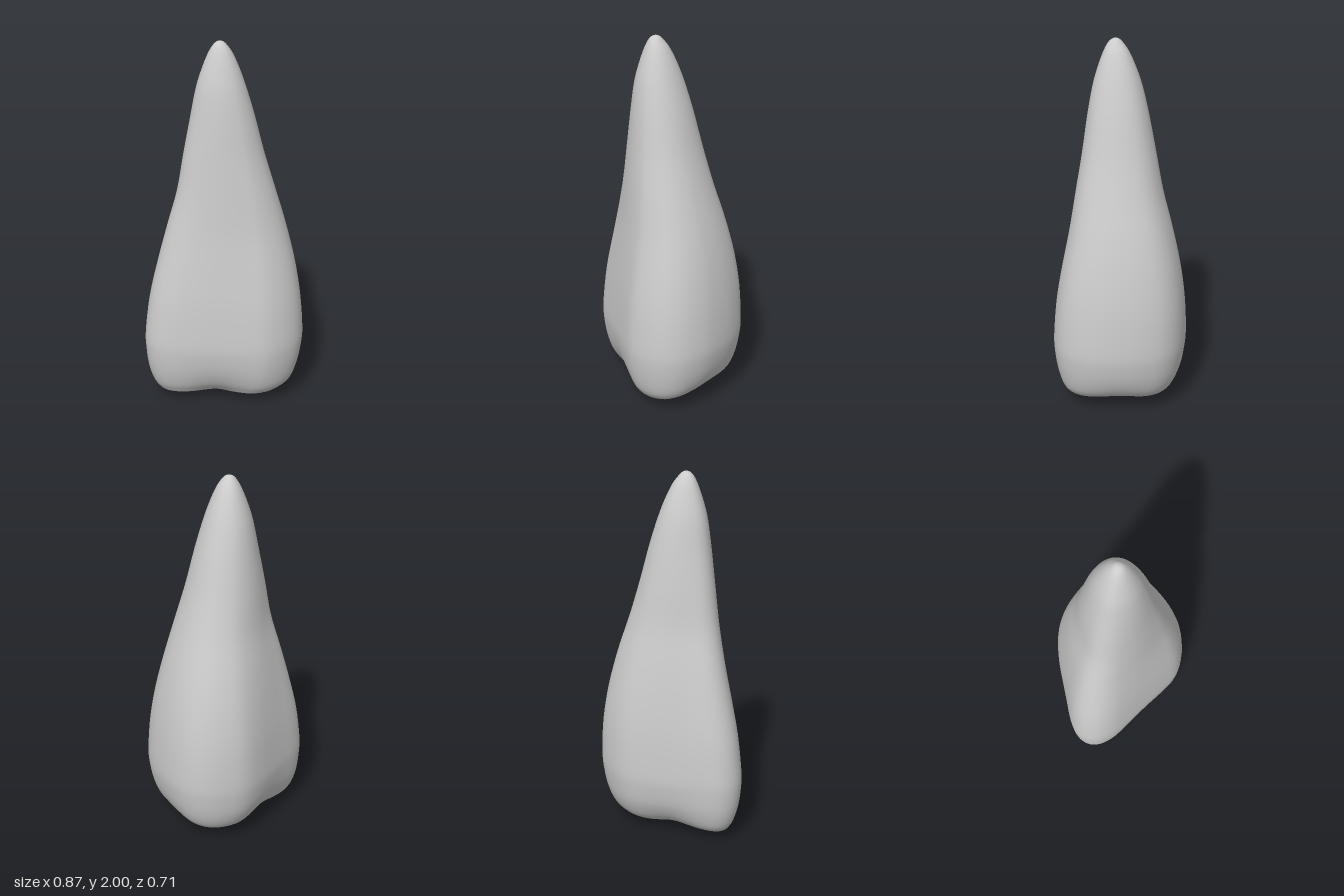
import * as THREE from 'three';

// Widest rounded-triangle outline, as x, z pairs
const OUTLINE = [
  [-0.435, 0.05], [-0.42, -0.01], [-0.37, -0.07], [-0.28, -0.143], [-0.17, -0.232], [-0.1, -0.286],
  [-0.02, -0.335], [0.05, -0.355], [0.13, -0.355], [0.2, -0.345], [0.27, -0.315], [0.33, -0.26],
  [0.38, -0.17], [0.41, -0.08], [0.43, 0.02], [0.432, 0.09], [0.42, 0.17], [0.395, 0.23],
  [0.35, 0.285], [0.27, 0.33], [0.17, 0.352], [0.08, 0.335], [-0.1, 0.277], [-0.2, 0.245],
  [-0.32, 0.2], [-0.39, 0.15], [-0.425, 0.1],
];

// Cross-sections from base to tip: y, min x, max x, min z, max z, pinch between the three lobes
const LEVELS = [
  [0.003, 0.04, 0.04, 0.03, 0.03, 0.5],
  [0.008, -0.03, 0.1, -0.02, 0.08, 0.5],
  [0.028, -0.18, 0.18, -0.11, 0.15, 0.45],
  [0.05, -0.33, 0.26, -0.2, 0.25, 0.32],
  [0.075, -0.37, 0.315, -0.255, 0.283, 0.22],
  [0.12, -0.397, 0.365, -0.295, 0.312, 0.12],
  [0.2, -0.42, 0.402, -0.328, 0.336, 0.045],
  [0.3, -0.432, 0.425, -0.347, 0.351, 0.01],
  [0.4, -0.432, 0.432, -0.354, 0.353, 0],
  [0.6, -0.405, 0.417, -0.345, 0.336, 0],
  [0.8, -0.357, 0.385, -0.316, 0.304, 0],
  [1.0, -0.302, 0.337, -0.27, 0.268, 0],
  [1.2, -0.246, 0.277, -0.215, 0.24, 0],
  [1.4, -0.21, 0.217, -0.172, 0.213, 0],
  [1.6, -0.172, 0.165, -0.13, 0.19, 0],
  [1.75, -0.143, 0.12, -0.092, 0.167, 0],
  [1.85, -0.113, 0.085, -0.057, 0.141, 0],
  [1.93, -0.082, 0.05, -0.02, 0.113, 0],
  [1.975, -0.057, 0.02, 0.012, 0.09, 0],
  [1.994, -0.038, 0.001, 0.032, 0.07, 0],
  [2.0, -0.018, -0.018, 0.05, 0.05, 0],
];

const spline = (points, closed = false) => new THREE.CatmullRomCurve3(points, closed, 'catmullrom', 0.5);

function bodyGeometry(sides = 72, rows = 80) {
  const outline = spline(OUTLINE.map(([x, z]) => new THREE.Vector3(x, 0, z)), true)
    .getSpacedPoints(sides).slice(0, sides);
  const low = spline(LEVELS.map(l => new THREE.Vector3(l[1], l[0], l[3])));
  const high = spline(LEVELS.map(l => new THREE.Vector3(l[2], l[0], l[4])));
  const pinch = spline(LEVELS.map(l => new THREE.Vector3(l[5], l[0], 0)));
  const positions = [], index = [];

  for (let r = 0; r <= rows; r++) {
    const t = r / rows, lo = low.getPoint(t), hi = high.getPoint(t), k = pinch.getPoint(t).x;
    const roundness = 0.8 * THREE.MathUtils.smoothstep(lo.y, 0.4, 2);
    // Pull in the sides between the lobes, round off towards the tip, then fit the ring to its extents
    const ring = outline.map(p => {
      const valley = (1 - Math.cos(3 * (Math.atan2(p.z, p.x) - 0.925))) / 2;
      const circle = p.clone().setLength(0.38);
      return p.clone().multiplyScalar(1 - k * valley).lerp(circle, roundness);
    });
    const box = new THREE.Box3().setFromPoints(ring);
    for (const p of ring) {
      positions.push(
        THREE.MathUtils.mapLinear(p.x, box.min.x, box.max.x, lo.x, hi.x),
        lo.y,
        THREE.MathUtils.mapLinear(p.z, box.min.z, box.max.z, lo.z, hi.z));
    }
  }
  for (let r = 0; r < rows; r++) {
    for (let s = 0; s < sides; s++) {
      const a = r * sides + s, b = r * sides + (s + 1) % sides;
      if (r < rows - 1) index.push(a + sides, b + sides, b);
      if (r > 0) index.push(a, a + sides, b);
    }
  }
  const geometry = new THREE.BufferGeometry();
  geometry.setAttribute('position', new THREE.Float32BufferAttribute(positions, 3));
  geometry.setIndex(index);
  geometry.computeVertexNormals();
  return geometry;
}

export function createModel() {
  const group = new THREE.Group();
  group.name = 'taperedStone';
  const grey = new THREE.MeshStandardMaterial({ color: 0xcccccc });
  grey.name = 'grey';
  // Smooth three-lobed body
  const body = new THREE.Mesh(bodyGeometry(), grey);
  body.name = 'body';
  group.add(body);
  return group;
}
